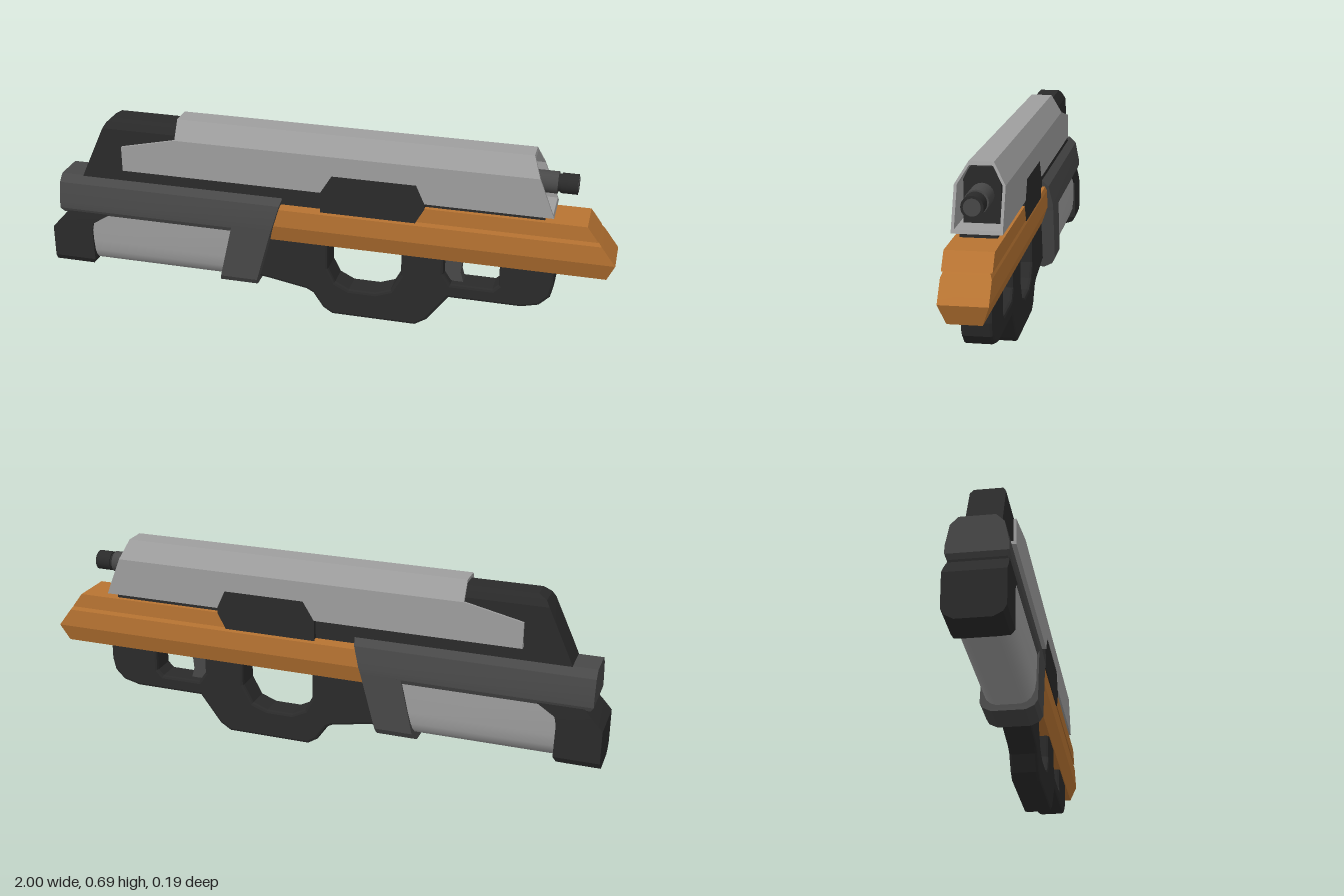
import * as THREE from 'three';
import { toCreasedNormals } from 'three/addons/utils/BufferGeometryUtils.js';

// Solid stacked from rectangular rows [y, xMin, xMax, halfWidth], bottom to top
function layers(rows, crease = 0.2) {
  const rings = rows.map(([y, a, b, h]) => [[a, y, h], [b, y, h], [b, y, -h], [a, y, -h]]);
  const pos = [];
  const quad = (a, b, c, d) => pos.push(...a, ...b, ...c, ...a, ...c, ...d);
  for (let r = 0; r < rings.length - 1; r++) {
    const lo = rings[r], hi = rings[r + 1];
    for (let i = 0; i < 4; i++) {
      const j = (i + 1) % 4;
      quad(lo[i], lo[j], hi[j], hi[i]);
    }
  }
  quad(...rings[rings.length - 1]);
  quad(...[...rings[0]].reverse());
  const g = new THREE.BufferGeometry();
  g.setAttribute('position', new THREE.Float32BufferAttribute(pos, 3));
  return toCreasedNormals(g, crease);
}

const v2 = (pts) => pts.map(([x, y]) => new THREE.Vector2(x, y));

// Side profile extruded between z0 and z1, with optional holes and bevel
function profile(pts, z0, z1, holes = [], bevel = 0) {
  const shape = new THREE.Shape(v2(pts));
  shape.holes = holes.map((h) => new THREE.Path(v2(h)));
  const g = new THREE.ExtrudeGeometry(shape, {
    depth: z1 - z0 - 2 * bevel, bevelEnabled: bevel > 0,
    bevelSize: bevel, bevelThickness: bevel, bevelOffset: -bevel, bevelSegments: 2,
  });
  return g.translate(0, 0, z0 + bevel);
}

export function createModel() {
  const model = new THREE.Group();
  const mat = (name, color) => {
    const m = new THREE.MeshStandardMaterial({ color });
    m.name = name;
    return m;
  };
  const black = mat('black polymer', 0x2a2a2a);
  const charcoal = mat('charcoal', 0x484848);
  const grey = mat('light grey', 0x9e9e9e);
  const orange = mat('orange', 0xb87432);
  const add = (name, geometry, material) => {
    const m = new THREE.Mesh(geometry, material);
    m.name = name;
    model.add(m);
    return m;
  };

  // Inner receiver
  add('receiver', layers([
    [0.40, -0.90, 0.76, 0.057], [0.485, -0.862, 0.76, 0.057], [0.485, -0.862, 0.70, 0.057],
    [0.63, -0.795, 0.70, 0.056], [0.65, -0.783, 0.70, 0.046], [0.667, -0.755, 0.70, 0.036],
  ]), black);

  // Faceted hollow cover: side walls, sloped shoulders, roof and floor
  const wall = [
    [-0.72, 0.485], [0, 0.485], [0.04, 0.55], [0.33, 0.55], [0.36, 0.485],
    [0.79, 0.485], [0.736, 0.62], [-0.52, 0.62], [-0.72, 0.575],
  ];
  const shoulder = [[-0.52, 0.62], [0.736, 0.62], [0.71, 0.685], [-0.52, 0.685]];
  for (const s of [1, -1]) {
    const side = s > 0 ? 'left' : 'right';
    const z0 = s > 0 ? 0.068 : -0.077;
    add(side + 'CoverWall', profile(wall, z0, z0 + 0.009), grey);
    const g = profile(shoulder, z0, z0 + 0.009);
    const p = g.attributes.position;
    for (let i = 0; i < p.count; i++) p.setZ(i, p.getZ(i) - s * (p.getY(i) - 0.62) * 0.6);
    g.computeVertexNormals();
    add(side + 'CoverShoulder', g, grey);
  }
  add('coverRoof', profile([[-0.52, 0.674], [0.714, 0.674], [0.71, 0.685], [-0.52, 0.685]], -0.038, 0.038), grey);
  add('coverFloor', profile([[-0.72, 0.485], [0.79, 0.485], [0.786, 0.496], [-0.72, 0.496]], -0.07, 0.07), grey);

  // Dark block filling the notch in the cover
  add('notchBlock', profile([
    [0, 0.41], [0.33, 0.41], [0.36, 0.465], [0.36, 0.485], [0.33, 0.55], [0.04, 0.55], [0, 0.485],
  ], -0.075, 0.075), black);

  // Barrel and muzzle
  const tube = (name, x0, x1, r, material) => {
    const m = add(name, new THREE.CylinderGeometry(r, r, x1 - x0, 24), material);
    m.rotation.z = -Math.PI / 2;
    m.position.set((x0 + x1) / 2, 0.582, 0);
  };
  tube('barrel', 0.68, 0.79, 0.037, charcoal);
  tube('barrelGroove', 0.78, 0.81, 0.03, black);
  tube('muzzle', 0.80, 0.855, 0.034, black);
  tube('muzzleFace', 0.85, 0.857, 0.026, charcoal);

  // Orange handguard
  add('handguard', layers([
    [0.272, -0.19, 0.975, 0.052], [0.335, -0.17, 1.0, 0.074], [0.40, -0.15, 0.951, 0.074],
    [0.415, -0.145, 0.939, 0.068], [0.415, 0.33, 0.939, 0.074], [0.467, 0.36, 0.90, 0.074],
  ]), orange);

  // Grip frame with thumb hole and trigger opening
  add('gripFrame', profile([
    [-0.30, 0.125], [-0.20, 0.112], [-0.06, 0.088], [-0.035, 0.075], [0.0, 0.022], [0.035, 0.0],
    [0.335, 0.0], [0.375, 0.025], [0.45, 0.125], [0.70, 0.125], [0.76, 0.14], [0.795, 0.175],
    [0.805, 0.22], [0.805, 0.33], [-0.30, 0.33],
  ], -0.049, 0.049, [
    [[0.02, 0.30], [0.02, 0.18], [0.045, 0.13], [0.095, 0.105], [0.19, 0.105], [0.245, 0.125], [0.28, 0.19], [0.28, 0.30]],
    [[0.43, 0.30], [0.43, 0.215], [0.455, 0.178], [0.60, 0.178], [0.62, 0.198], [0.62, 0.30]],
  ], 0.01), black);
  add('trigger', profile([
    [0.42, 0.29], [0.42, 0.19], [0.46, 0.18], [0.495, 0.18], [0.485, 0.215], [0.488, 0.25], [0.50, 0.29],
  ], -0.02, 0.02), charcoal);

  // Stock: upper rail, front band, pale body and butt pad
  add('stockRail', layers([
    [0.305, -0.955, -0.18, 0.088], [0.32, -0.965, -0.175, 0.094], [0.345, -0.965, -0.167, 0.094],
    [0.415, -0.965, -0.147, 0.08], [0.44, -0.965, -0.14, 0.055],
  ]), charcoal);
  add('stockBand', layers([
    [0.09, -0.37, -0.237, 0.055], [0.105, -0.366, -0.233, 0.083],
    [0.125, -0.362, -0.228, 0.094], [0.32, -0.318, -0.175, 0.094],
  ]), charcoal);
  add('stockBody', layers([
    [0.113, -0.87, -0.30, 0.04], [0.12, -0.87, -0.30, 0.058], [0.135, -0.87, -0.30, 0.073],
    [0.16, -0.87, -0.30, 0.083], [0.20, -0.87, -0.30, 0.087], [0.32, -0.87, -0.30, 0.087],
  ], 0.6), grey);
  add('buttPad', layers([
    [0.09, -1, -0.88, 0.055], [0.105, -1, -0.855, 0.083], [0.125, -1, -0.845, 0.094],
    [0.24, -1, -0.848, 0.094], [0.27, -0.973, -0.842, 0.094], [0.312, -0.935, -0.775, 0.09],
  ]), black);

  return model;
}
